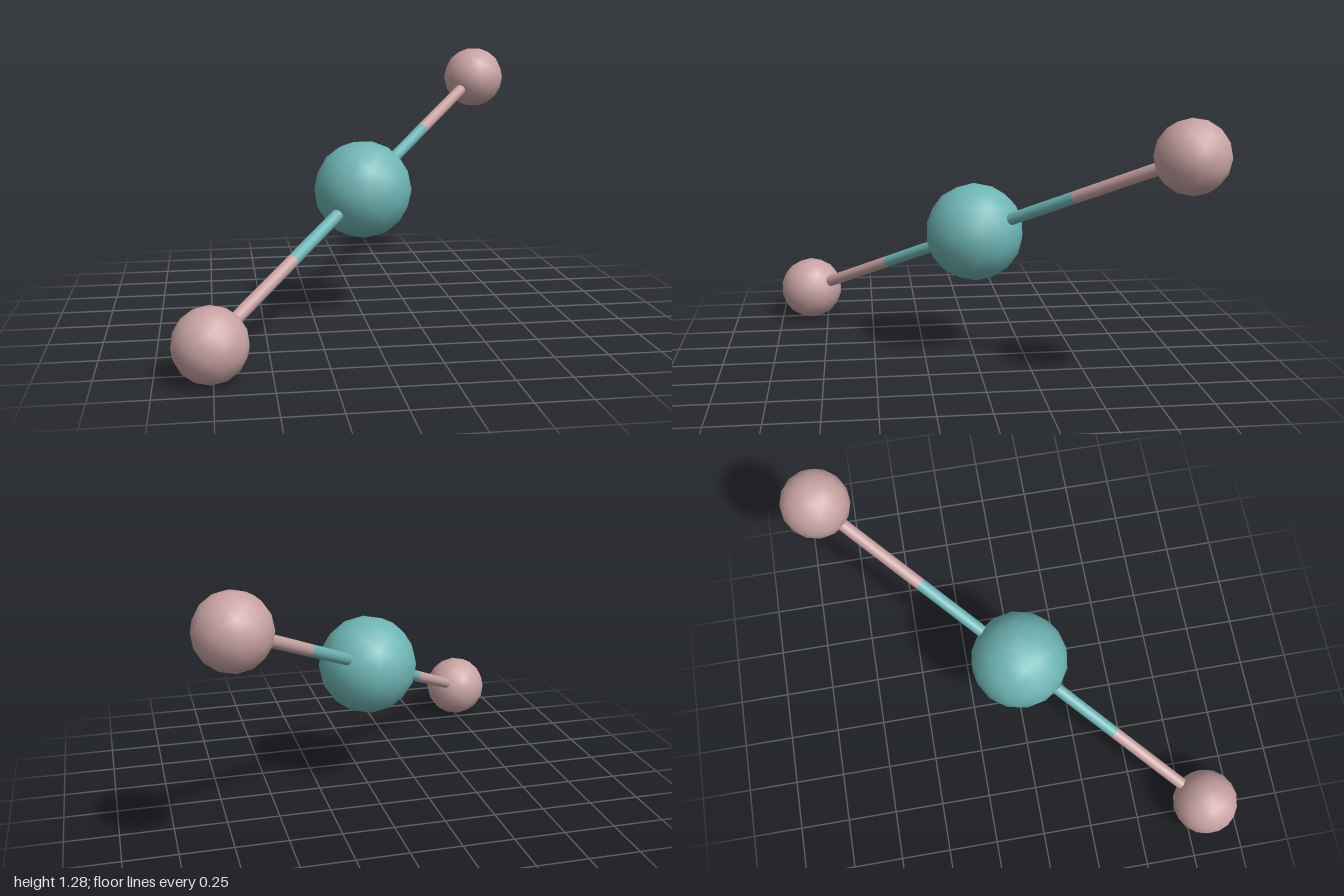
import * as THREE from 'three';

const teal = new THREE.MeshStandardMaterial({ color: 0x6fb5b5 });
const pink = new THREE.MeshStandardMaterial({ color: 0xc9a3a3 });

// Faceted ball with smooth shading
function ball(name, radius, centre, material) {
  const mesh = new THREE.Mesh(new THREE.IcosahedronGeometry(radius, 2), material);
  mesh.name = name;
  mesh.position.copy(centre);
  return mesh;
}

// Round rod between two points
function rod(name, from, to, material) {
  const dir = to.clone().sub(from);
  const mesh = new THREE.Mesh(new THREE.CylinderGeometry(0.03, 0.03, dir.length(), 12), material);
  mesh.name = name;
  mesh.position.copy(from).add(to).multiplyScalar(0.5);
  mesh.quaternion.setFromUnitVectors(new THREE.Vector3(0, 1, 0), dir.normalize());
  return mesh;
}

export function createModel() {
  const model = new THREE.Group();
  model.name = 'ballAndStickMolecule';
  const centre = new THREE.Vector3(0, 0.645, 0);
  const arm = new THREE.Vector3(0.76, 0.48, -0.837);
  model.add(ball('centreBall', 0.24, centre, teal));

  // Two opposite arms, each rod split in colour halfway
  for (const [side, sign] of [['left', 1], ['right', -1]]) {
    const end = centre.clone().addScaledVector(arm, sign);
    const middle = centre.clone().lerp(end, 0.5);
    model.add(
      ball(side + 'Ball', 0.165, end, pink),
      rod(side + 'InnerRod', centre, middle, teal),
      rod(side + 'OuterRod', middle, end, pink),
    );
  }
  return model;
}
